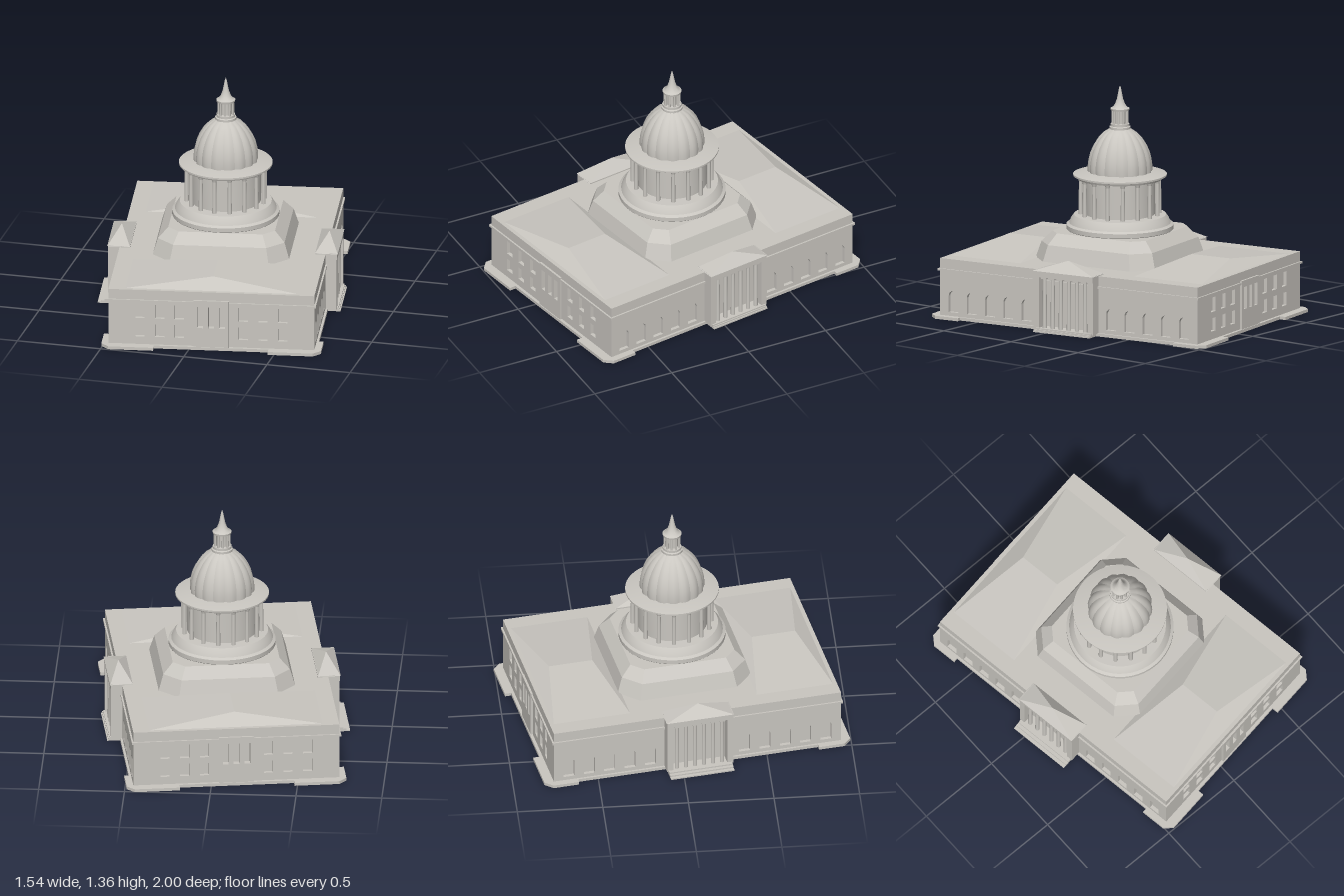
import * as THREE from 'three';
import { toCreasedNormals } from 'three/addons/utils/BufferGeometryUtils.js';

const stone = new THREE.MeshStandardMaterial({ color: 0xc9c6c0 });
stone.name = 'pale stone';

function add(parent, name, geometry, x = 0, y = 0, z = 0) {
  const mesh = new THREE.Mesh(geometry, stone);
  mesh.name = name;
  mesh.position.set(x, y, z);
  parent.add(mesh);
  return mesh;
}

// box given by its limits
function block(parent, name, x0, x1, y0, y1, z0, z1) {
  return add(parent, name, new THREE.BoxGeometry(x1 - x0, y1 - y0, z1 - z0),
    (x0 + x1) / 2, (y0 + y1) / 2, (z0 + z1) / 2);
}

function lathe(parent, name, points, segments = 48) {
  const profile = points.map(([r, y]) => new THREE.Vector2(r, y));
  return add(parent, name, toCreasedNormals(new THREE.LatheGeometry(profile, segments), 0.45));
}

// flat-sided solid through stacked rings of [x, y, z], closed on top
function loft(rings) {
  const v = [];
  const n = rings[0].length;
  for (let k = 0; k < rings.length - 1; k++) {
    for (let i = 0; i < n; i++) {
      const j = (i + 1) % n;
      const a = rings[k][i], b = rings[k][j], c = rings[k + 1][j], d = rings[k + 1][i];
      v.push(...a, ...b, ...c, ...a, ...c, ...d);
    }
  }
  const top = rings[rings.length - 1];
  for (let i = 1; i < n - 1; i++) v.push(...top[0], ...top[i], ...top[i + 1]);
  const g = new THREE.BufferGeometry();
  g.setAttribute('position', new THREE.Float32BufferAttribute(v, 3));
  g.computeVertexNormals();
  return g;
}

const rectRing = (hx, hz, y) => [[hx, y, hz], [hx, y, -hz], [-hx, y, -hz], [-hx, y, hz]];
const octRing = (a, b, y) => [[b, y, a], [a, y, b], [a, y, -b], [b, y, -a],
  [-b, y, -a], [-a, y, -b], [-a, y, b], [-b, y, a]];

function rectPath(Type, x0, x1, y0, y1) {
  return new Type([[x0, y0], [x1, y0], [x1, y1], [x0, y1]].map(p => new THREE.Vector2(...p)));
}

function archPath(x, w, y0, y1) {
  const r = w / 2;
  const p = new THREE.Path();
  p.moveTo(x - r, y0);
  p.lineTo(x + r, y0);
  p.lineTo(x + r, y1 - r);
  p.absarc(x, y1 - r, r, 0, Math.PI, false);
  p.lineTo(x - r, y0);
  return p;
}

function wall(halfWidth, y1, depth, holes) {
  const shape = rectPath(THREE.Shape, -halfWidth, halfWidth, 0.015, y1);
  shape.holes.push(...holes);
  return new THREE.ExtrudeGeometry(shape, { depth, bevelEnabled: false, curveSegments: 8 });
}

function endFacade(parent, turn) {
  const g = new THREE.Group();
  g.name = 'endFacade';
  g.rotation.y = turn;
  const portalHoles = () => [-0.063, 0, 0.063].map(x =>
    rectPath(THREE.Path, x - 0.017, x + 0.017, 0.135, 0.266));
  const holes = portalHoles();
  for (const s of [-1, 1]) for (const c of [0.187, 0.302, 0.417]) {
    const x = s * c;
    holes.push(rectPath(THREE.Path, x - 0.027, x + 0.027, 0.065, 0.143));
    holes.push(rectPath(THREE.Path, x - 0.027, x + 0.027, 0.18, 0.266));
  }
  add(g, 'windowWall', wall(0.602, 0.355, 0.022, holes), 0, 0, 0.84);
  add(g, 'portal', wall(0.103, 0.305, 0.013, portalHoles()), 0, 0, 0.862);
  parent.add(g);
}

function sideFacade(parent, turn, stepReach) {
  const g = new THREE.Group();
  g.name = 'sideFacade';
  g.rotation.y = turn;
  const holes = [];
  for (const s of [-1, 1]) for (let i = 0; i < 5; i++) {
    holes.push(archPath(s * (0.283 + i * 0.122), 0.066, 0.04, 0.168));
  }
  add(g, 'arcadeWall', wall(0.84, 0.355, 0.022, holes), 0, 0, 0.58);

  // columned porch with a low pyramid roof
  for (const s of [-1, 1]) block(g, 'porchPier', s * 0.18 - 0.018, s * 0.18 + 0.018, 0.015, 0.33, 0.6, 0.668);
  block(g, 'porchEntablature', -0.198, 0.198, 0.325, 0.362, 0.54, 0.67);
  add(g, 'porchRoof', loft([rectRing(0.202, 0.067, 0.36), rectRing(0, 0, 0.428)]), 0, 0, 0.607);
  for (let i = 0; i < 6; i++) {
    const x = (i - 2.5) * 0.054;
    add(g, 'porchColumn', new THREE.CylinderGeometry(0.011, 0.013, 0.31, 12), x, 0.175, 0.648);
    block(g, 'columnCapital', x - 0.016, x + 0.016, 0.314, 0.326, 0.632, 0.664);
  }
  for (let i = 0; i < 3; i++) {
    const reach = 0.67 + (stepReach - 0.67) * (1 - i / 3);
    block(g, 'porchStep', -0.19, 0.19, 0, 0.008 * (i + 1), 0.58, reach);
  }
  parent.add(g);
}

export function createModel() {
  const model = new THREE.Group();
  model.name = 'domedBuilding';
  const b = new THREE.Group();
  b.name = 'building';
  b.rotation.y = THREE.MathUtils.degToRad(9);
  b.position.set(-0.009, 0, -0.005);
  model.add(b);

  // plinth with widened, chamfered corners: one quadrant mirrored
  const quarter = [[0.615, 0.72], [0.642, 0.72], [0.642, 0.873], [0.598, 0.918], [0.335, 0.918], [0.335, 0.88]];
  const back = [...quarter].reverse();
  const outline = [
    ...quarter, ...back.map(([x, z]) => [-x, z]),
    ...quarter.map(([x, z]) => [-x, -z]), ...back.map(([x, z]) => [x, -z]),
  ].map(p => new THREE.Vector2(...p));
  const plinth = new THREE.ExtrudeGeometry(new THREE.Shape(outline), { depth: 0.018, bevelEnabled: false });
  add(b, 'plinth', plinth.rotateX(-Math.PI / 2));

  // main block, facades and cornice
  block(b, 'mainBlock', -0.581, 0.581, 0.01, 0.355, -0.841, 0.841);
  endFacade(b, 0);
  endFacade(b, Math.PI);
  sideFacade(b, Math.PI / 2, 0.69);
  sideFacade(b, -Math.PI / 2, 0.73);
  block(b, 'cornice', -0.612, 0.612, 0.282, 0.295, -0.872, 0.872);

  // low hipped roofs at both ends
  for (const s of [-1, 1]) {
    add(b, 'hippedRoof', loft([rectRing(0.505, 0.229, 0.355), rectRing(0, 0.13, 0.408)]), 0, 0, s * 0.609);
  }

  // chamfered square base of the dome
  add(b, 'domeBase', loft([octRing(0.4, 0.29, 0.35), octRing(0.37, 0.272, 0.45), octRing(0.312, 0.245, 0.512)]));

  // round drum with its colonnade
  lathe(b, 'drumFoot', [[0.305, 0.505], [0.312, 0.515], [0.312, 0.54], [0.296, 0.55], [0.285, 0.575], [0.268, 0.598], [0.2, 0.602]]);
  lathe(b, 'drum', [[0.205, 0.6], [0.205, 0.82]]);
  for (let i = 0; i < 16; i++) {
    const a = (i + 0.5) * Math.PI / 8;
    const x = 0.229 * Math.sin(a), z = 0.229 * Math.cos(a);
    add(b, 'drumColumn', new THREE.CylinderGeometry(0.011, 0.013, 0.21, 10), x, 0.705, z);
    add(b, 'drumCapital', new THREE.CylinderGeometry(0.017, 0.012, 0.02, 10), x, 0.805, z);
  }
  lathe(b, 'drumCornice', [[0.2, 0.812], [0.25, 0.812], [0.255, 0.824], [0.273, 0.828], [0.273, 0.838], [0.2, 0.852], [0.15, 0.855]]);

  // dome of sixteen bulging gores
  const domeProfile = [[0.188, 0.85], [0.189, 0.885], [0.184, 0.925], [0.174, 0.965], [0.157, 1.005],
    [0.132, 1.045], [0.1, 1.08], [0.058, 1.108]].map(p => new THREE.Vector2(...p));
  const dome = new THREE.LatheGeometry(domeProfile, 64);
  const pos = dome.attributes.position;
  for (let i = 0; i < pos.count; i++) {
    const x = pos.getX(i), z = pos.getZ(i);
    const k = 0.955 + 0.045 * Math.abs(Math.sin(8 * Math.atan2(x, z)));
    pos.setXYZ(i, x * k, pos.getY(i), z * k);
  }
  add(b, 'dome', toCreasedNormals(dome, 0.4));

  // lantern and spire
  lathe(b, 'lanternFoot', [[0.05, 1.098], [0.062, 1.1], [0.062, 1.118], [0.055, 1.122], [0.055, 1.136], [0.03, 1.138]], 24);
  lathe(b, 'lanternCore', [[0.034, 1.13], [0.034, 1.22]], 24);
  for (let i = 0; i < 10; i++) {
    const a = i * Math.PI / 5;
    add(b, 'lanternColumn', new THREE.CylinderGeometry(0.006, 0.007, 0.085, 8),
      0.044 * Math.sin(a), 1.176, 0.044 * Math.cos(a));
  }
  lathe(b, 'spire', [[0.034, 1.212], [0.054, 1.214], [0.056, 1.226], [0.044, 1.232], [0.03, 1.25],
    [0.019, 1.28], [0.012, 1.315], [0.006, 1.345], [0, 1.362]], 24);
  return model;
}
